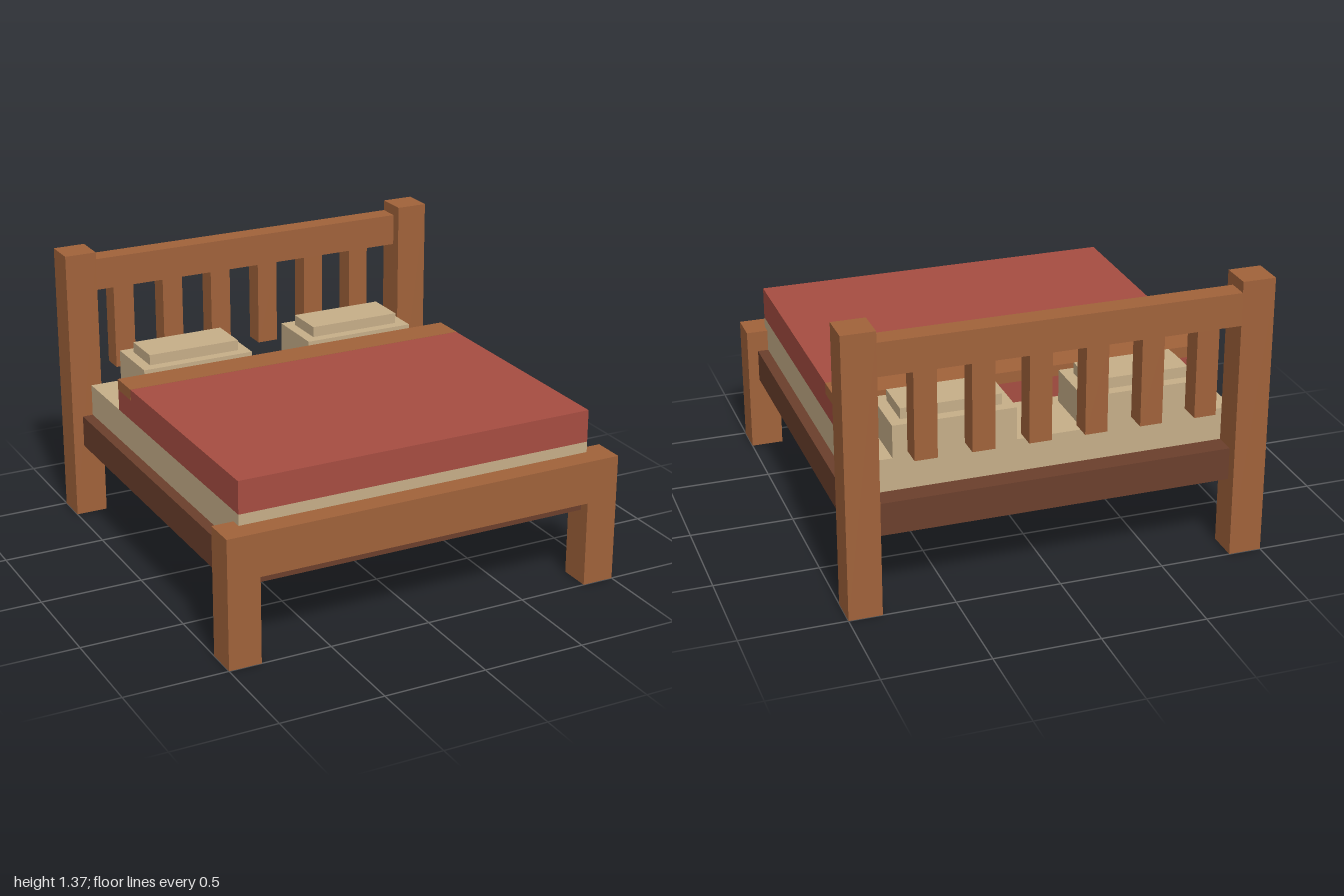
import * as THREE from 'three';

// All sizes are laid out on a grid of 19 steps per unit.
const U = 1 / 19;

function material(name, color) {
  const m = new THREE.MeshStandardMaterial({ color });
  m.name = name;
  return m;
}

export function createModel() {
  const wood = material('wood', 0xa0623a);
  const darkWood = material('darkWood', 0x6b3f2c);
  const linen = material('linen', 0xc6ae88);
  const red = material('redCloth', 0xa64d41);

  const bed = new THREE.Group();
  bed.name = 'bed';

  // Box from its lower and upper corners in grid steps, grown by an optional margin
  function box(name, mat, [x0, y0, z0], [x1, y1, z1], grow = 0) {
    const g = new THREE.BoxGeometry(
      (x1 - x0) * U + grow * 2, (y1 - y0) * U + grow * 2, (z1 - z0) * U + grow * 2);
    const mesh = new THREE.Mesh(g, mat);
    mesh.name = name;
    mesh.position.set((x0 + x1) / 2 * U, (y0 + y1) / 2 * U, (z0 + z1) / 2 * U);
    bed.add(mesh);
  }

  // Posts and pillows, mirrored left and right
  for (const [side, s] of [['left', 1], ['right', -1]]) {
    const pair = (name, mat, [a, y0, z0], [b, y1, z1]) =>
      box(side + name, mat, [Math.min(a * s, b * s), y0, z0], [Math.max(a * s, b * s), y1, z1]);
    pair('HeadPost', wood, [16, 0, -19], [19, 26, -16]);
    pair('FootPost', wood, [16, 0, 16], [19, 12, 19]);
    pair('Pillow', linen, [3, 13, -16], [14, 16, -10]);
    pair('PillowTop', linen, [4, 16, -15], [13, 17, -11]);
  }

  // Headboard rail with evenly spaced hanging slats
  box('headRail', wood, [-16, 22, -19], [16, 25, -17]);
  for (let i = 0; i < 6; i++) {
    const x = -14 + i * 5;
    box('headSlat' + (i + 1), wood, [x, 14, -19], [x + 2, 22, -17]);
  }

  // Footboard and base
  box('footRail', wood, [-16, 8, 16], [16, 12, 19]);
  box('baseFrame', darkWood, [-18, 7, -18], [18, 10, 18]);

  // Bedding
  box('mattress', linen, [-17, 10, -16], [17, 13, 17]);
  box('blanket', red, [-17, 13, -9], [17, 16, 17]);
  box('blanketFold', wood, [-17, 15, -9], [17, 16, -6], 0.001);

  return bed;
}
